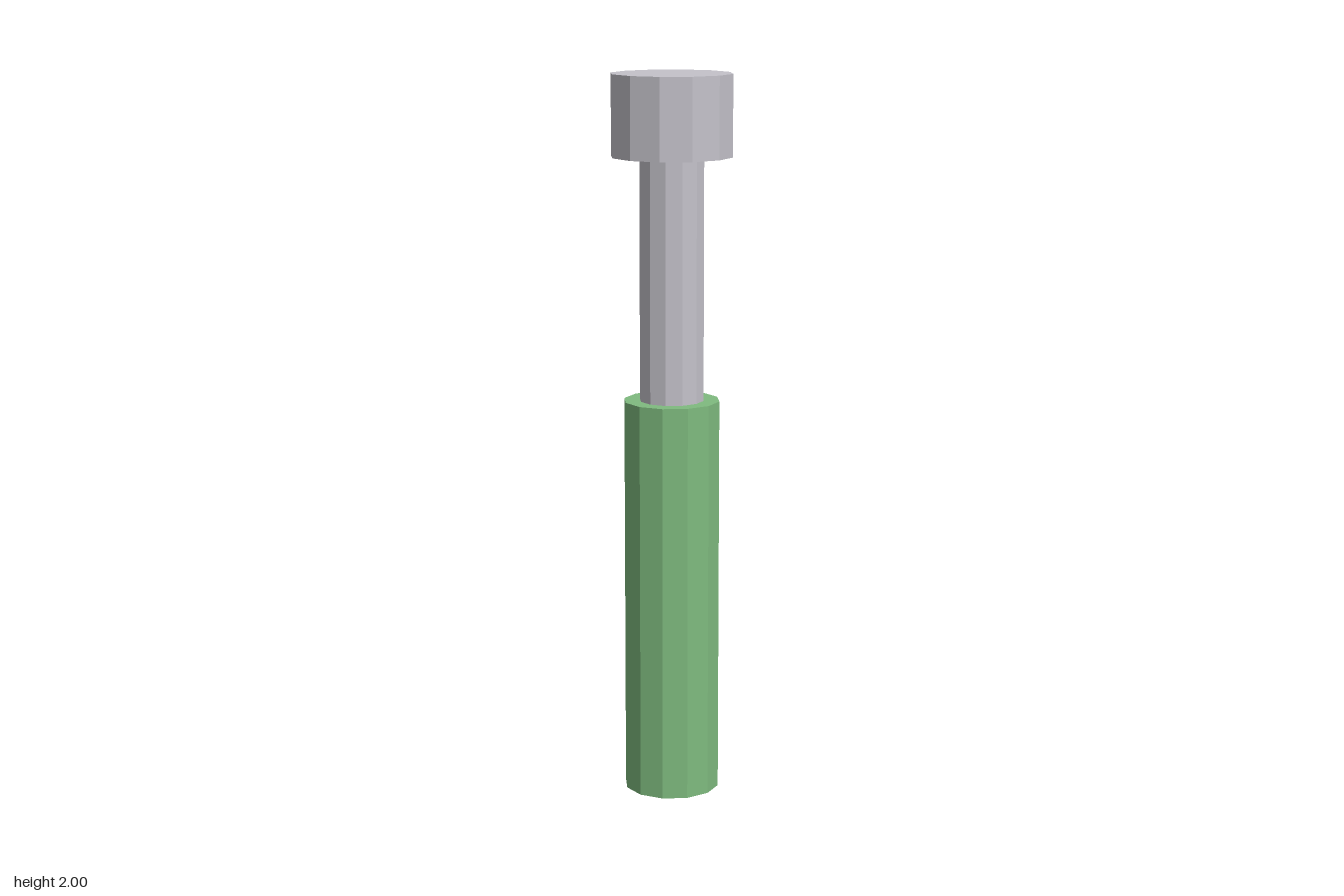
import * as THREE from 'three';

const SIDES = 12;

// Upright faceted cylinder spanning bottom to top
function addCylinder(group, name, radius, bottom, top, color) {
  const mesh = new THREE.Mesh(
    new THREE.CylinderGeometry(radius, radius, top - bottom, SIDES),
    new THREE.MeshStandardMaterial({ color, flatShading: true })
  );
  mesh.name = name;
  mesh.position.y = (bottom + top) / 2;
  group.add(mesh);
}

export function createModel() {
  const group = new THREE.Group();
  group.name = 'handleTool';
  const metal = 0xc4c2ca;

  // Green grip, slim shaft and wide cap, stacked along y
  addCylinder(group, 'grip', 0.133, 0, 1.111, 0x7fbb7f);
  addCylinder(group, 'shaft', 0.089, 1.111, 1.778, metal);
  addCylinder(group, 'head', 0.167, 1.778, 2, metal);

  return group;
}
